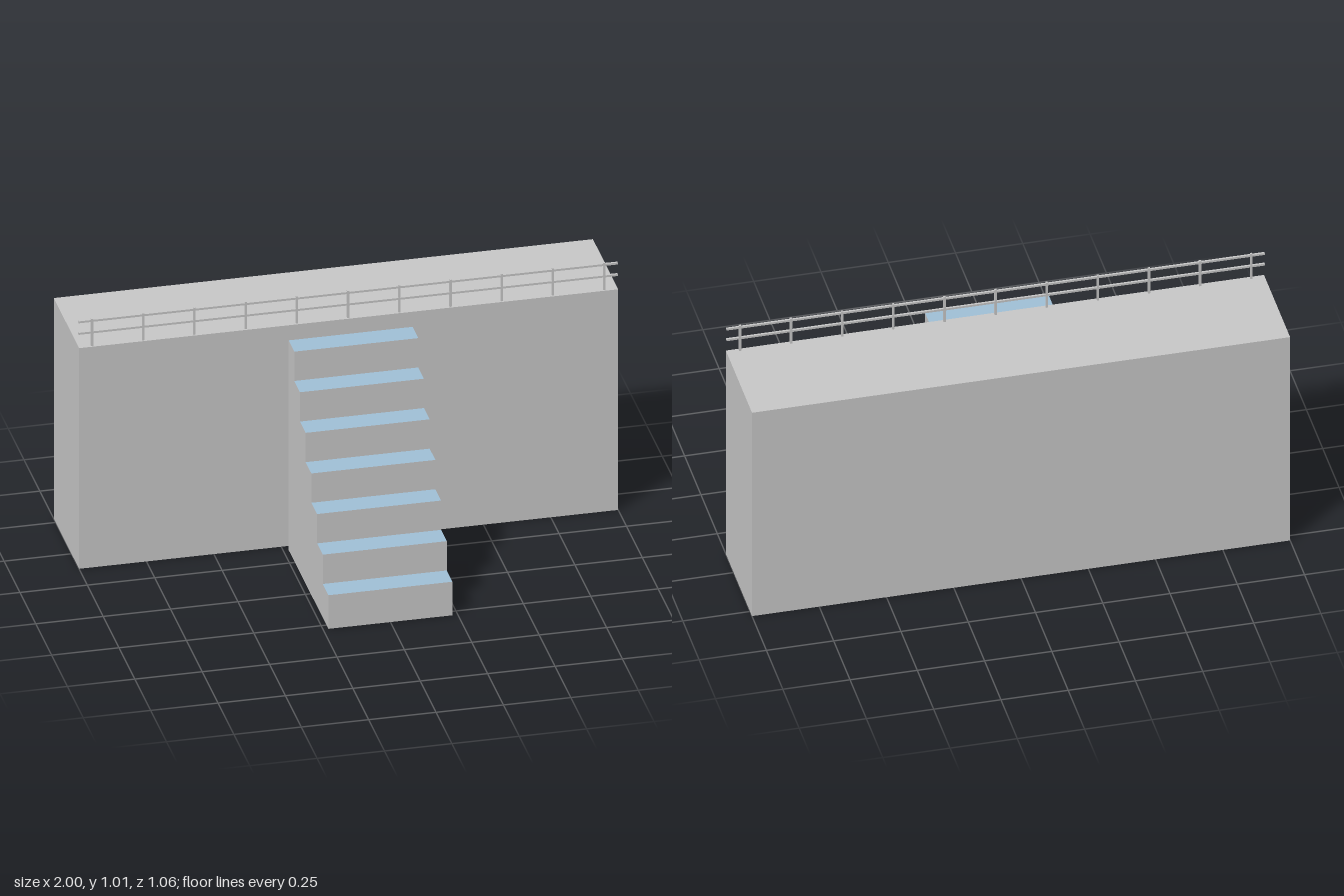
import * as THREE from 'three';

const lightGrey = new THREE.MeshStandardMaterial({ name: 'light grey', color: 0xc8c8c8 });
const treadBlue = new THREE.MeshStandardMaterial({ name: 'tread blue', color: 0xa0c1d8 });

function box(name, w, h, d, x, y, z) {
  const mesh = new THREE.Mesh(new THREE.BoxGeometry(w, h, d), lightGrey);
  mesh.name = name;
  mesh.position.set(x, y, z);
  return mesh;
}

// Solid stair: stepped side profile extruded across its width, upward faces in the tread colour
function createStairs() {
  const steps = 7, width = 0.46, front = 0.53, back = -0.1;
  const firstRise = 0.137, rise = 0.1196, run = (front - back) / steps;
  const profile = new THREE.Shape();
  profile.moveTo(-front, 0);
  profile.lineTo(-back, 0);
  for (let i = steps - 1; i >= 0; i--) {
    const y = firstRise + i * rise;
    profile.lineTo(-front + (i + 1) * run, y);
    profile.lineTo(-front + i * run, y);
  }
  const geometry = new THREE.ExtrudeGeometry(profile, { depth: width, bevelEnabled: false });
  geometry.translate(0, 0, -width / 2).rotateY(Math.PI / 2);

  // Sort triangles into body and tread by the direction they face
  geometry.clearGroups();
  const normal = geometry.attributes.normal;
  for (let i = 0; i < normal.count; i += 3) {
    geometry.addGroup(i, 3, normal.getY(i) > 0.5 ? 1 : 0);
  }
  const stairs = new THREE.Mesh(geometry, [lightGrey, treadBlue]);
  stairs.name = 'stairs';
  return stairs;
}

// Railing along the front edge of the platform: posts plus two horizontal bars
function createRailing() {
  const railing = new THREE.Group();
  railing.name = 'railing';
  const z = -0.14, base = 0.9, top = 1.01, posts = 11;
  for (let i = 0; i < posts; i++) {
    const x = -0.95 + (1.9 * i) / (posts - 1);
    railing.add(box('railPost', 0.008, top - base, 0.008, x, (top + base) / 2, z));
  }
  railing.add(box('topRail', 2, 0.008, 0.008, 0, 1.002, z));
  railing.add(box('middleRail', 2, 0.008, 0.008, 0, 0.955, z));
  return railing;
}

export function createModel() {
  const model = new THREE.Group();
  model.name = 'platformWithStairs';
  model.add(box('platform', 2, 0.9, 0.4, 0, 0.45, -0.33));
  model.add(createStairs(), createRailing());
  return model;
}
